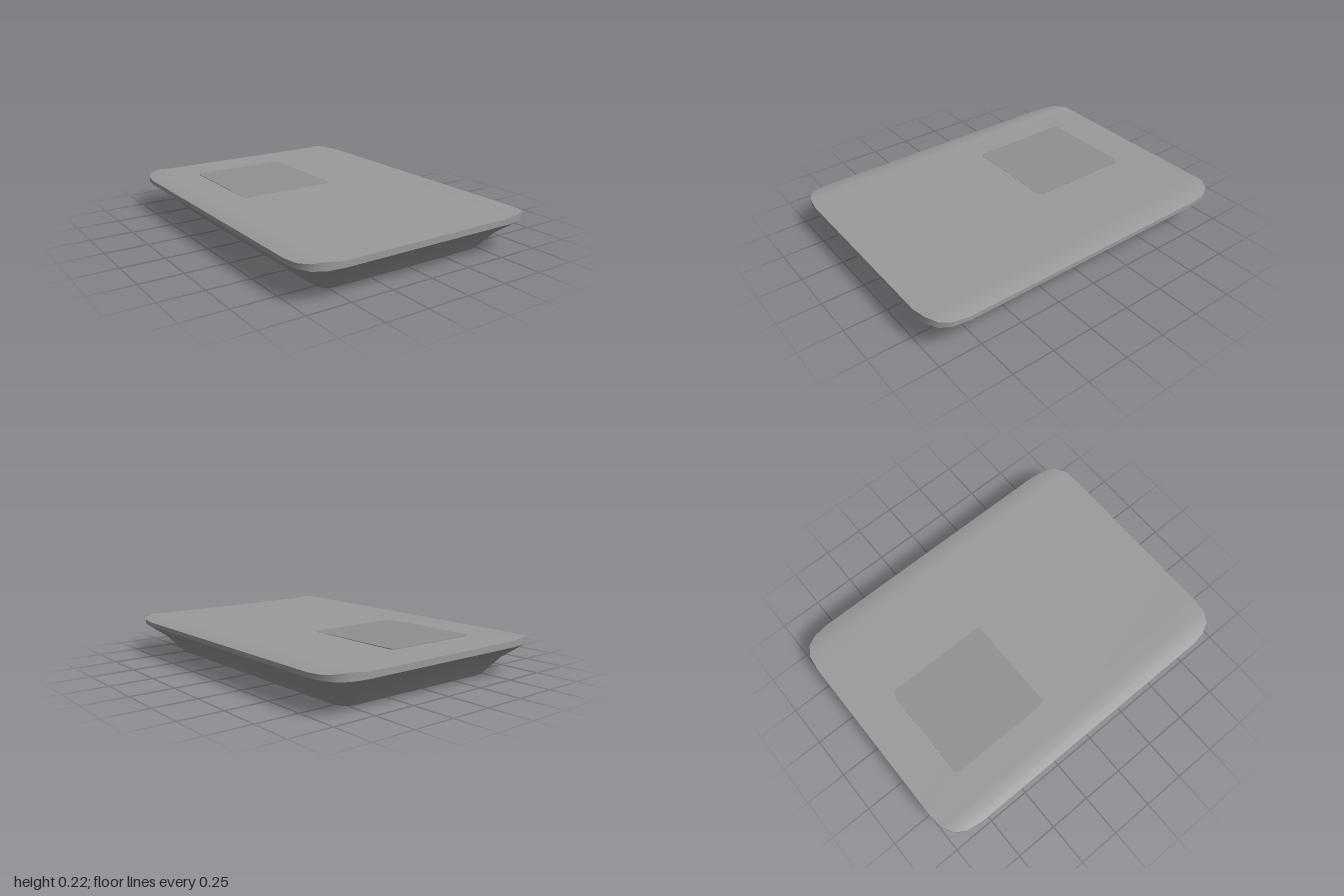
import * as THREE from 'three';

const bodyMaterial = new THREE.MeshStandardMaterial({ color: 0x9a9a9a });
const padMaterial = new THREE.MeshStandardMaterial({ color: 0x909090 });

// Quarter-round corner, from the +z side round to the +x side
const CORNER = [[0, 1], [0.44, 0.94], [0.76, 0.76], [0.93, 0.46], [1, 0]];

// Height of the gently dished top across its width
const CREST = [[0, 0.215], [0.54, 0.215], [0.63, 0.224], [0.69, 0.217], [0.74, 0.205]];
function topHeight(x) {
  const ax = Math.min(Math.abs(x), 0.74);
  for (let i = 1; i < CREST.length; i++) {
    const [x0, y0] = CREST[i - 1], [x1, y1] = CREST[i];
    if (ax <= x1) return y0 + (y1 - y0) * (ax - x0) / (x1 - x0);
  }
  return 0.205;
}

// Rounded rectangle, counter-clockwise from above; y is a number or a rule of x
function ring(hx, hz, r, y) {
  const points = [];
  for (const [sx, sz] of [[1, 1], [1, -1], [-1, -1], [-1, 1]]) {
    const corner = sx * sz > 0 ? CORNER : [...CORNER].reverse();
    for (const [a, b] of corner) {
      const x = sx * (hx - r + r * a), z = sz * (hz - r + r * b);
      points.push([x, typeof y === 'function' ? y(x) : y, z]);
    }
  }
  return points;
}

function surface(name, points, index) {
  const geometry = new THREE.BufferGeometry();
  geometry.setAttribute('position', new THREE.Float32BufferAttribute(points.flat(), 3));
  geometry.setIndex(index);
  geometry.computeVertexNormals();
  const mesh = new THREE.Mesh(geometry, bodyMaterial);
  mesh.name = name;
  return mesh;
}

// Smooth wall through rings listed from bottom to top
function wall(name, rings) {
  const n = rings[0].length, index = [];
  for (let k = 0; k < rings.length - 1; k++) {
    for (let i = 0; i < n; i++) {
      const j = (i + 1) % n, a = k * n, b = a + n;
      index.push(a + i, a + j, b + j, a + i, b + j, b + i);
    }
  }
  return surface(name, rings.flat(), index);
}

export function createModel() {
  const group = new THREE.Group();
  const foot = ring(0.54, 0.82, 0.1, 0);
  const edge = ring(0.74, 1, 0.2, 0.18);

  // Tapering underside
  group.add(wall('taperedBase', [foot, ring(0.63, 0.9, 0.14, 0.1), edge]));

  // Flat bottom
  const fan = [];
  for (let i = 1; i < foot.length - 1; i++) fan.push(0, i + 1, i);
  group.add(surface('bottom', foot, fan));

  // Narrow upright rim
  group.add(wall('rim', [edge, ring(0.74, 1, 0.2, topHeight)]));

  // Dished top, made of strips running front to back
  const half = CORNER.map(([a, b]) => [0.54 + 0.2 * a, 0.8 + 0.2 * b]);
  const columns = [...half.map(([x, z]) => [-x, z]).reverse(), ...half];
  const points = [], index = [];
  columns.forEach(([x, z], i) => {
    points.push([x, topHeight(x), -z], [x, topHeight(x), z]);
    const a = 2 * i;
    if (i < columns.length - 1) index.push(a, a + 1, a + 3, a, a + 3, a + 2);
  });
  group.add(surface('top', points, index));

  // Thin rounded pad, rising very slightly towards the back
  const w = 0.3, h = 0.32, r = 0.03;
  const shape = new THREE.Shape();
  shape.absarc(w - r, h - r, r, 0, Math.PI / 2);
  shape.absarc(-w + r, h - r, r, Math.PI / 2, Math.PI);
  shape.absarc(-w + r, -h + r, r, Math.PI, Math.PI * 1.5);
  shape.absarc(w - r, -h + r, r, Math.PI * 1.5, Math.PI * 2);
  const padGeometry = new THREE.ExtrudeGeometry(shape, { depth: 0.008, bevelEnabled: false, curveSegments: 4 });
  padGeometry.rotateX(-Math.PI / 2);
  const pad = new THREE.Mesh(padGeometry, padMaterial);
  pad.name = 'pad';
  pad.position.set(-0.15, 0.2097, -0.43);
  pad.rotation.x = 0.006;
  group.add(pad);

  return group;
}
